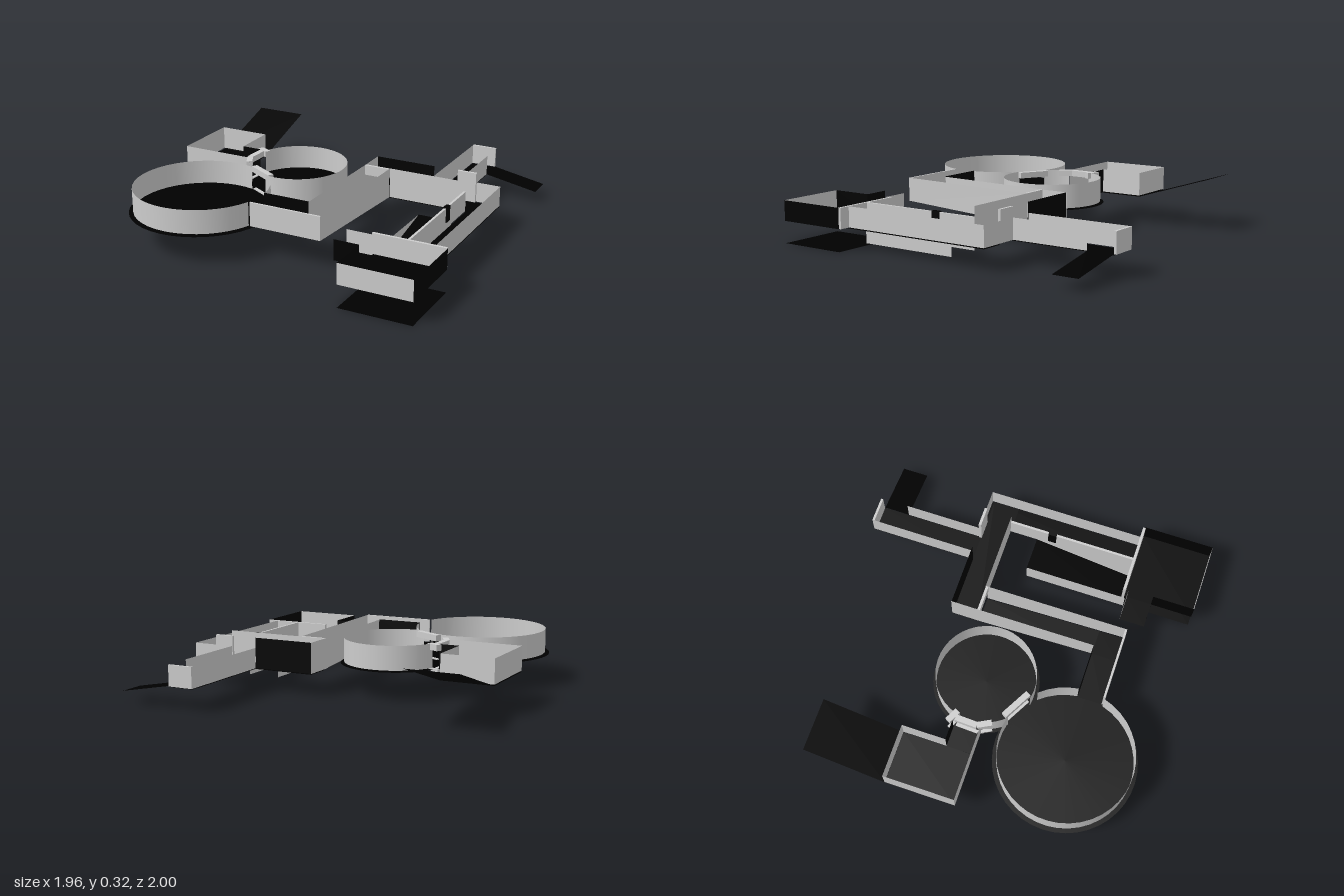
import * as THREE from 'three';

const grey = new THREE.MeshStandardMaterial({ color: 0xcccccc, side: THREE.DoubleSide });
const black = new THREE.MeshStandardMaterial({ color: 0x000000, side: THREE.DoubleSide });

export function createModel() {
  const model = new THREE.Group();

  const add = (name, geometry, material) => {
    const mesh = new THREE.Mesh(geometry, material);
    mesh.name = name;
    model.add(mesh);
    return mesh;
  };

  // Four-cornered sheet, corners in order around the edge
  const sheet = (name, corners, material) => {
    const g = new THREE.BufferGeometry();
    g.setAttribute('position', new THREE.Float32BufferAttribute(corners.flat(), 3));
    g.setIndex([0, 1, 2, 0, 2, 3]);
    g.computeVertexNormals();
    return add(name, g, material);
  };

  // Upright wall from (x0,z0) to (x1,z1); the second end may have its own heights
  const wall = (name, x0, z0, x1, z1, low, high, material = grey, low1 = low, high1 = high) =>
    sheet(name, [[x0, low, z0], [x1, low1, z1], [x1, high1, z1], [x0, high, z0]], material);

  // Floor rectangle; heights at the back (-z) and front (+z) edges
  const floor = (name, x0, x1, z0, z1, back, front = back) =>
    sheet(name, [[x0, front, z1], [x1, front, z1], [x1, back, z0], [x0, back, z0]], black);

  // Slim bar between two plan points
  const bar = (name, x0, z0, x1, z1, low, high, thick = 0.016) => {
    const m = add(name, new THREE.BoxGeometry(Math.hypot(x1 - x0, z1 - z0), high - low, thick), grey);
    m.position.set((x0 + x1) / 2, (low + high) / 2, (z0 + z1) / 2);
    m.rotation.y = -Math.atan2(z1 - z0, x1 - x0);
  };

  // Round room: disc floor and a ring wall in arcs (degrees, 0 = +x, 90 = +z)
  const roundRoom = (name, x, z, rFloor, rWall, arcs) => {
    const disc = add(name + 'Floor', new THREE.CircleGeometry(rFloor, 40), black);
    disc.rotation.x = -Math.PI / 2;
    disc.position.set(x, 0.173, z);
    for (const [a, b] of arcs) {
      const start = THREE.MathUtils.degToRad(90 - b);
      const length = THREE.MathUtils.degToRad(b - a);
      const g = new THREE.CylinderGeometry(rWall, rWall, 0.14, Math.ceil((b - a) / 9), 1, true, start, length);
      add(name + 'Wall', g, grey).position.set(x, 0.25, z);
    }
  };

  const U0 = 0.18, U1 = 0.32; // upper level
  const L0 = 0.13, L1 = 0.25; // lower level

  // Round rooms
  roundRoom('largeRoundRoom', -0.535, 0.555, 0.415, 0.39, [[16, 285], [318, 353]]);
  roundRoom('smallRoundRoom', -0.23, -0.02, 0.31, 0.29, [[-163, 102], [136, 167]]);

  // Doorway frames between the round rooms and the square room
  const frames = [
    [-0.56, -0.135, -0.49, -0.1], [-0.53, -0.1, -0.535, 0.03],
    [-0.535, 0.03, -0.495, 0.105], [-0.43, 0.155, -0.265, 0.245],
  ];
  for (const f of frames) {
    bar('doorLintel', ...f, 0.285, U1, 0.035);
    bar('doorSill', ...f, 0.165, 0.18, 0.02);
  }

  // Square room with a ramp rising behind it
  floor('squareRoomFloor', -0.98, -0.67, -0.37, 0.05, U0 - 0.007);
  floor('squareRoomPassageFloor', -0.67, -0.5, -0.11, 0.05, U0 - 0.005);
  floor('risingRamp', -0.98, -0.67, -0.84, -0.37, 0.322, U0 - 0.007);
  wall('squareRoomSideWall', -0.98, -0.37, -0.98, 0.05, U0, U1);
  wall('squareRoomBackWall', -0.98, -0.37, -0.67, -0.37, U0, U1);
  wall('squareRoomFrontWall', -0.98, 0.05, -0.53, 0.05, U0, U1);
  wall('squareRoomInnerWall', -0.67, -0.37, -0.67, -0.11, U0, U1);
  wall('passageWall', -0.67, -0.11, -0.55, -0.11, U0, U1, black);

  // Corridor from the large round room to the sloping hall
  floor('linkFloor', -0.15, 0.13, 0.51, 0.66, U0 - 0.004);
  wall('linkBackWall', -0.15, 0.51, 0.13, 0.51, U0, 0.323, black);
  bar('linkFrontWall', -0.15, 0.66, 0.285, 0.66, U0, U1, 0.012);

  // Sloping hall, going down towards the back
  floor('slopingHallCorner', 0.13, 0.28, 0.51, 0.66, U0 - 0.004);
  floor('slopingHallFloor', 0.13, 0.28, -0.19, 0.51, L0, U0 - 0.004);
  wall('slopingHallWall', 0.13, 0.51, 0.13, -0.19, U0, U1, grey, L0, 0.31);
  wall('slopingHallWall', 0.285, 0.66, 0.285, -0.19, U0, U1, grey, L0, 0.31);
  bar('slopingHallLintel', 0.13, -0.19, 0.285, -0.19, L1, 0.31);

  // Cross hall
  floor('crossHallFloor', 0.13, 0.91, -0.36, -0.2, L0 - 0.004);
  wall('crossHallEndWall', 0.13, -0.36, 0.13, -0.19, L0, 0.31);
  wall('crossHallBackWall', 0.13, -0.357, 0.5, -0.357, L0, 0.31, black);
  wall('crossHallFrontWall', 0.285, -0.2, 0.765, -0.2, L0, 0.31);
  bar('crossHallBackCorner', 0.65, -0.362, 0.765, -0.362, L0, 0.31);
  wall('crossHallBackCorner', 0.765, -0.37, 0.91, -0.37, L0, L1);

  // Back hall with a ramp falling to the side
  floor('backHallFloor', 0.5, 0.655, -0.99, -0.36, L0 - 0.004);
  wall('backHallOuterWall', 0.5, -0.99, 0.5, -0.36, L0, L1);
  wall('backHallInnerWall', 0.655, -0.83, 0.655, -0.36, L0, L1);
  bar('backHallEndWall', 0.5, -0.992, 0.65, -0.992, L0, L1, 0.014);
  sheet('fallingRamp', [
    [0.655, L0, -0.83], [0.975, 0.07, -0.83], [0.975, 0.07, -0.985], [0.655, L0, -0.985],
  ], black);

  // Side hall leading to the end room
  floor('sideHallFloor', 0.765, 0.91, -0.37, 0.58, L0 - 0.006);
  wall('sideHallOuterWall', 0.91, -0.37, 0.91, 0.58, L0, L1);
  bar('sideHallInnerWall', 0.757, -0.2, 0.757, 0.575, L0, L1, 0.014);
  const hatch = add('sideHallHatch', new THREE.BoxGeometry(0.024, 0.09, 0.05), black);
  hatch.position.set(0.757, 0.21, 0.065);

  // Stairwell going down under the end room
  floor('stairwellRamp', 0.55, 0.75, -0.03, 0.59, L0, 0.004);
  for (const x of [0.55, 0.75]) {
    wall('stairwellWall', x, -0.03, x, 0.18, 0.01, L0);
    wall('stairwellWall', x, 0.18, x, 0.59, 0.01, L0);
  }

  // End room, its lower floor and the side alcove
  floor('endRoomFloor', 0.56, 0.98, 0.58, 1, L0);
  floor('endRoomLowerFloor', 0.56, 0.98, 0.58, 1, 0);
  bar('endRoomBackWall', 0.55, 0.575, 0.975, 0.575, L0, L1);
  wall('endRoomFrontWall', 0.56, 1, 0.98, 1, L0, L1);
  wall('endRoomOuterWall', 0.98, 0.58, 0.98, 1, L0, L1, black);
  wall('endRoomInnerWall', 0.56, 0.75, 0.56, 1, L0, L1, black);
  floor('alcoveFloor', 0.41, 0.56, 0.6, 0.75, L0);
  wall('alcoveFrontWall', 0.41, 0.75, 0.56, 0.75, L0, L1, black);
  wall('alcoveBackWall', 0.41, 0.6, 0.56, 0.6, L0, L1);

  return model;
}
